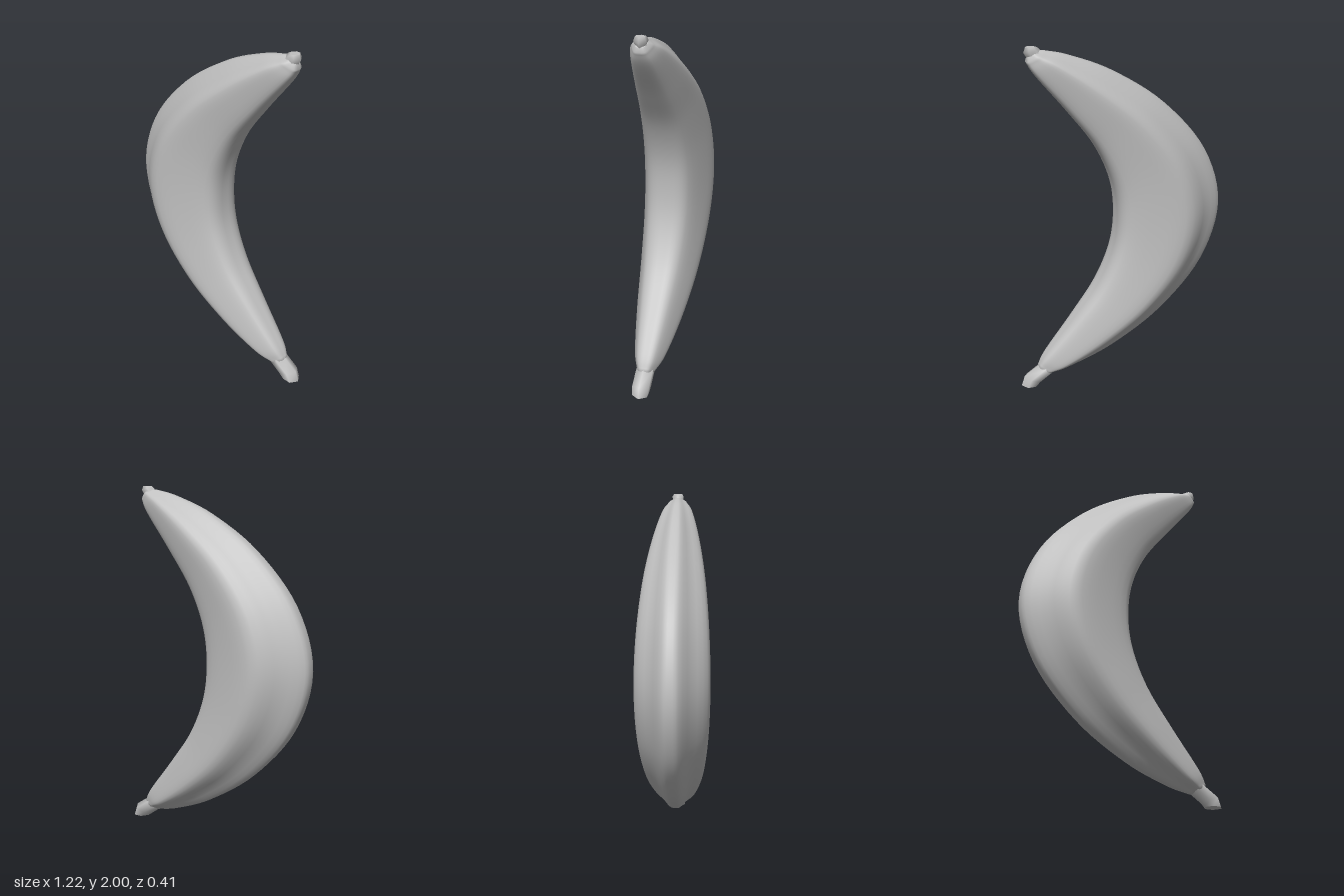
import * as THREE from 'three';

const skin = new THREE.MeshStandardMaterial({ color: 0xc0c0c0 });
skin.name = 'plain grey';

// Half cross-section [position from outer to inner edge, share of half width], mirrored in z
function closeProfile(half) {
  const back = half.slice(1, -1).reverse().map(([u, w]) => [u, -w]);
  return [...half, ...back];
}

// Skin over rings [outerX, outerY, innerX, innerY, halfWidth], listed from top to bottom
function loft(name, rings, profile) {
  const n = profile.length, pos = [], index = [];
  const addRing = ([ox, oy, ix, iy, w]) => {
    for (const [u, v] of profile) pos.push(ox + (ix - ox) * u, oy + (iy - oy) * u, v * w);
  };
  rings.forEach(addRing);
  for (let i = 0; i < rings.length - 1; i++) {
    for (let j = 0; j < n; j++) {
      const k = (j + 1) % n, a = i * n, b = a + n;
      index.push(a + j, b + j, a + k, a + k, b + j, b + k);
    }
  }
  // End caps with their own vertices, so their rims stay crisp
  [rings[0], rings[rings.length - 1]].forEach((r, end) => {
    const start = pos.length / 3;
    addRing(r);
    pos.push((r[0] + r[2]) / 2, (r[1] + r[3]) / 2, 0);
    for (let j = 0; j < n; j++) {
      const a = start + j, b = start + (j + 1) % n;
      index.push(start + n, end ? b : a, end ? a : b);
    }
  });
  const geo = new THREE.BufferGeometry();
  geo.setAttribute('position', new THREE.Float32BufferAttribute(pos, 3));
  geo.setIndex(index);
  geo.computeVertexNormals();
  const mesh = new THREE.Mesh(geo, skin);
  mesh.name = name;
  return mesh;
}

export function createModel() {
  const group = new THREE.Group();
  group.name = 'banana';

  // Curved body: upper stations, mirrored about the middle height
  const upper = [
    [0.41, 1.98, 0.50, 1.925, 0.05],
    [0.27, 1.945, 0.45, 1.845, 0.09],
    [0.03, 1.845, 0.28, 1.635, 0.137],
    [-0.26, 1.65, 0.13, 1.43, 0.174],
    [-0.51, 1.36, 0.04, 1.22, 0.197],
    [-0.61, 1.02, 0.015, 1.02, 0.205],
  ];
  const lower = upper.slice(0, -1).reverse().map(([a, b, c, d, w]) => [a, 2.04 - b, c, 2.04 - d, w]);
  const stations = [...upper, ...lower];
  const curve = (f) => new THREE.CatmullRomCurve3(stations.map(f), false, 'catmullrom', 0.5);
  const outer = curve((s) => new THREE.Vector3(s[0], s[1], 0));
  const inner = curve((s) => new THREE.Vector3(s[2], s[3], s[4]));
  const rings = [];
  for (let i = 0; i <= 60; i++) {
    const o = outer.getPoint(i / 60), p = inner.getPoint(i / 60);
    rings.push([o.x, o.y, p.x, p.y, p.z]);
  }
  // Rounded shoulders at both ends
  const shrink = ([a, b, c, d, w], dy) => [
    a + (c - a) * 0.2 + 0.012, b + (d - b) * 0.2 + dy,
    c + (a - c) * 0.2 + 0.012, d + (b - d) * 0.2 + dy, w * 0.65];
  rings.unshift(shrink(rings[0], 0.012));
  rings.push(shrink(rings[rings.length - 1], -0.012));

  // Soft five-sided section: outer keel, two side ridges, two inner ridges
  const half = [[0, 0], [0.02, 0.22], [0.18, 0.54], [0.34, 0.92], [0.45, 1],
    [0.68, 0.86], [0.92, 0.6], [0.99, 0.35], [1, 0]];
  const section = new THREE.CatmullRomCurve3(
    closeProfile(half).map(([u, w]) => new THREE.Vector3(u, w, 0)), true);
  const smooth = section.getPoints(48).slice(0, -1).map((p) => [p.x, p.y]);
  group.add(loft('body', rings, smooth));

  // Small nub on the top end
  const hex = closeProfile([[0, 0], [0.27, 0.95], [0.73, 0.95], [1, 0]]);
  group.add(loft('topNub', [
    [0.445, 2.0, 0.5, 2.0, 0.026],
    [0.432, 1.993, 0.51, 1.972, 0.034],
    [0.415, 1.975, 0.492, 1.942, 0.03],
    [0.39, 1.95, 0.47, 1.91, 0.03],
  ], hex));

  // Stem at the bottom end, cut level with the ground
  group.add(loft('stem', [
    [0.39, 0.085, 0.47, 0.14, 0.045],
    [0.41, 0.063, 0.502, 0.115, 0.05],
    [0.475, 0.018, 0.585, 0.06, 0.05],
    [0.5, 0, 0.605, 0, 0.045],
  ], hex));

  return group;
}
